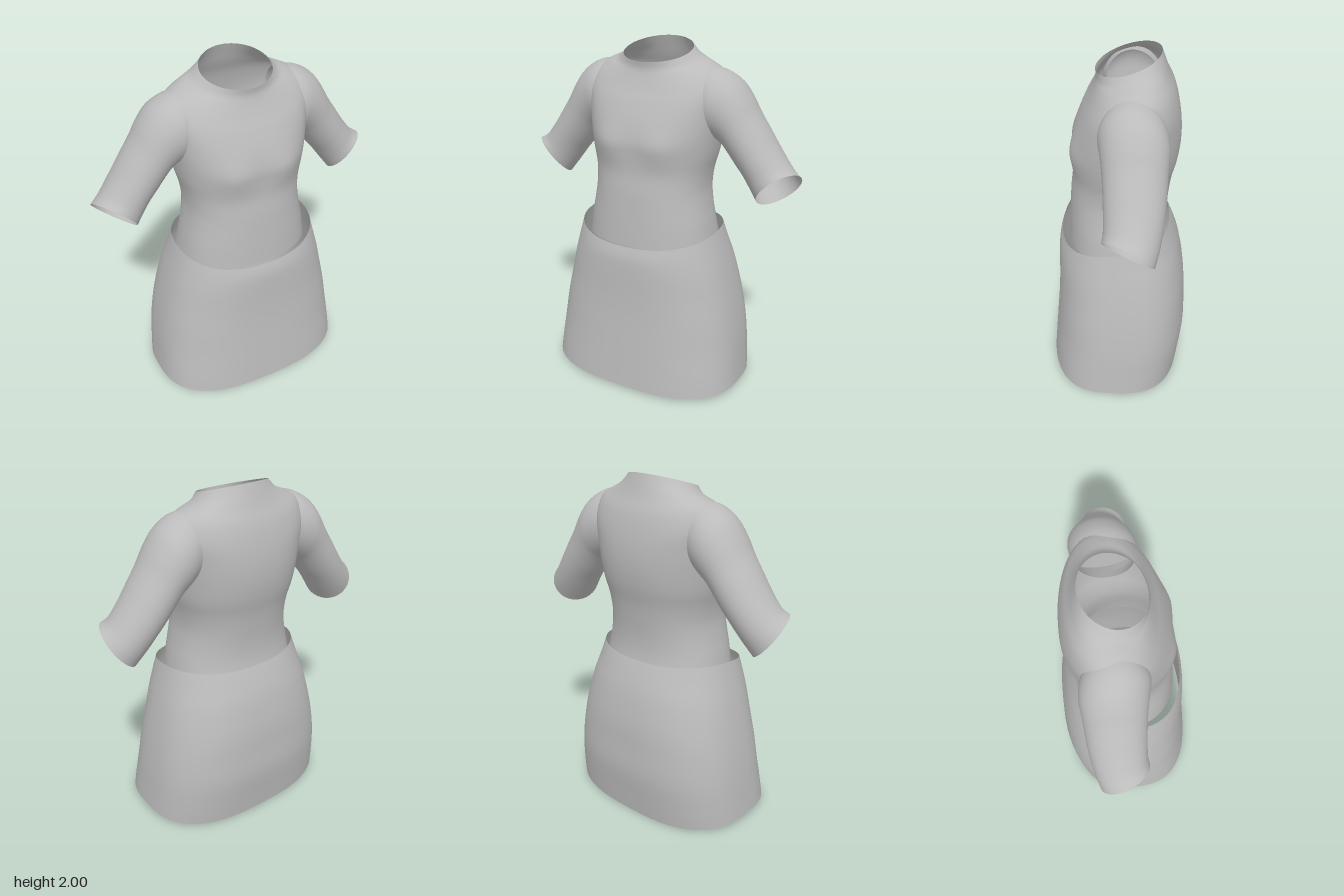
import * as THREE from 'three';

// Smoothly interpolates a list of number rows (Catmull-Rom per column).
function refine(rows, steps) {
  const out = [];
  const n = rows.length - 1;
  for (let i = 0; i < n; i++) {
    const [p0, p1, p2, p3] = [rows[Math.max(i - 1, 0)], rows[i], rows[i + 1], rows[Math.min(i + 2, n)]];
    for (let s = 0; s < steps; s++) {
      const t = s / steps;
      out.push(p1.map((b, k) => {
        const a = p0[k], c = p2[k], d = p3[k];
        return 0.5 * (2 * b + (c - a) * t + (2 * a - 5 * b + 4 * c - d) * t * t + (3 * b - a - 3 * c + d) * t * t * t);
      }));
    }
  }
  out.push(rows[n]);
  return out;
}

// Open tube through closed rings; place(row, sin, cos) gives each point.
function loft(rows, place, side = 1, segments = 64, steps = 4) {
  const rings = refine(rows, steps);
  const positions = [], index = [];
  for (const row of rings) {
    for (let j = 0; j < segments; j++) {
      const a = (j / segments) * Math.PI * 2;
      const [x, y, z] = place(row, Math.sin(a), Math.cos(a));
      positions.push(x * side, y, z);
    }
  }
  for (let i = 0; i < rings.length - 1; i++) {
    for (let j = 0; j < segments; j++) {
      const k = (j + 1) % segments;
      const a = i * segments + j, b = i * segments + k;
      const c = a + segments, d = b + segments;
      if (side > 0) index.push(a, b, c, b, d, c);
      else index.push(a, c, b, b, c, d);
    }
  }
  const g = new THREE.BufferGeometry();
  g.setAttribute('position', new THREE.Float32BufferAttribute(positions, 3));
  g.setIndex(index);
  g.computeVertexNormals();
  return g;
}

const power = (v, n) => Math.sign(v) * Math.pow(Math.abs(v), 2 / n);

// Body ring: half width, z front, z back, y front, y side, y back, squareness
function bodyPoint([w, zF, zB, yF, yS, yB, n], s, c) {
  const t = power(c, n);
  const x = w * power(s, n);
  const z = (zF + zB) / 2 + ((zF - zB) / 2) * t;
  const y = yS + ((yF - yB) / 2) * t + ((yF + yB) / 2 - yS) * t * t;
  return [x, y, z];
}

// Adds the soft fullness of the bust to the front of the torso.
function torsoPoint(row, s, c) {
  const p = bodyPoint(row, s, c);
  if (c > 0) {
    const dx = (Math.abs(p[0]) - 0.17) / 0.11, dy = (p[1] - 1.45) / 0.1;
    p[2] += 0.022 * c * Math.exp(-dx * dx - dy * dy);
  }
  return p;
}

// Sleeve ring: outer x, y, inner x, y, z front, z back, opening slant
function sleevePoint([ox, oy, ix, iy, zF, zB, slant], s, c) {
  const t = (s + 1) / 2;
  return [
    ix + (ox - ix) * t - 0.645 * slant * c,
    iy + (oy - iy) * t + 0.764 * slant * c,
    (zF + zB) / 2 + ((zF - zB) / 2) * c,
  ];
}

export function createModel() {
  const fabric = new THREE.MeshStandardMaterial({ color: 0xbbbbbb, side: THREE.DoubleSide });
  fabric.name = 'grey fabric';
  const group = new THREE.Group();
  group.name = 'dress';
  const add = (name, geometry) => {
    const mesh = new THREE.Mesh(geometry, fabric);
    mesh.name = name;
    group.add(mesh);
  };

  // Flared skirt, hem to waistband
  add('skirt', loft([
    [0.60, 0.415, -0.375, 0.025, 0.04, 0.005, 2.7],
    [0.59, 0.405, -0.39, 0.13, 0.14, 0.12, 2.7],
    [0.575, 0.39, -0.41, 0.29, 0.29, 0.29, 2.6],
    [0.55, 0.375, -0.405, 0.45, 0.45, 0.45, 2.6],
    [0.52, 0.366, -0.396, 0.6, 0.6, 0.6, 2.5],
    [0.485, 0.362, -0.365, 0.74, 0.75, 0.77, 2.4],
    [0.452, 0.356, -0.33, 0.83, 0.87, 0.88, 2.3],
    [0.425, 0.337, -0.295, 0.895, 0.968, 0.965, 2.3],
  ], bodyPoint));

  // Torso, hidden lower edge to tilted neckline
  add('torso', loft([
    [0.39, 0.297, -0.31, 0.88, 0.88, 0.88, 2.3],
    [0.37, 0.29, -0.285, 1.0, 1.0, 1.0, 2.3],
    [0.35, 0.283, -0.28, 1.1, 1.1, 1.1, 2.3],
    [0.337, 0.275, -0.288, 1.2, 1.2, 1.2, 2.3],
    [0.345, 0.263, -0.302, 1.3, 1.3, 1.3, 2.3],
    [0.368, 0.262, -0.325, 1.4, 1.4, 1.4, 2.3],
    [0.385, 0.262, -0.338, 1.48, 1.52, 1.5, 2.3],
    [0.40, 0.24, -0.338, 1.58, 1.65, 1.6, 2.3],
    [0.41, 0.2, -0.325, 1.68, 1.76, 1.7, 2.3],
    [0.38, 0.165, -0.30, 1.75, 1.84, 1.8, 2.2],
    [0.31, 0.135, -0.265, 1.82, 1.882, 1.88, 2.1],
    [0.245, 0.125, -0.24, 1.86, 1.905, 1.95, 2],
    [0.2, 0.128, -0.222, 1.895, 1.945, 2.0, 2],
  ], torsoPoint));

  // Short sleeves, cuff to shoulder
  const sleeve = [
    [0.838, 1.335, 0.645, 1.138, 0.078, -0.19, 0.06],
    [0.79, 1.367, 0.59, 1.215, 0.07, -0.215, 0.035],
    [0.72, 1.455, 0.54, 1.285, 0.07, -0.235, 0.015],
    [0.655, 1.55, 0.49, 1.345, 0.073, -0.245, 0],
    [0.59, 1.645, 0.44, 1.41, 0.078, -0.25, 0],
    [0.54, 1.73, 0.405, 1.45, 0.085, -0.255, 0],
    [0.475, 1.81, 0.37, 1.475, 0.095, -0.26, 0],
    [0.38, 1.863, 0.33, 1.5, 0.105, -0.25, 0],
    [0.28, 1.875, 0.28, 1.53, 0.08, -0.22, 0],
  ];
  add('leftSleeve', loft(sleeve, sleevePoint, 1, 40));
  add('rightSleeve', loft(sleeve, sleevePoint, -1, 40));

  return group;
}
